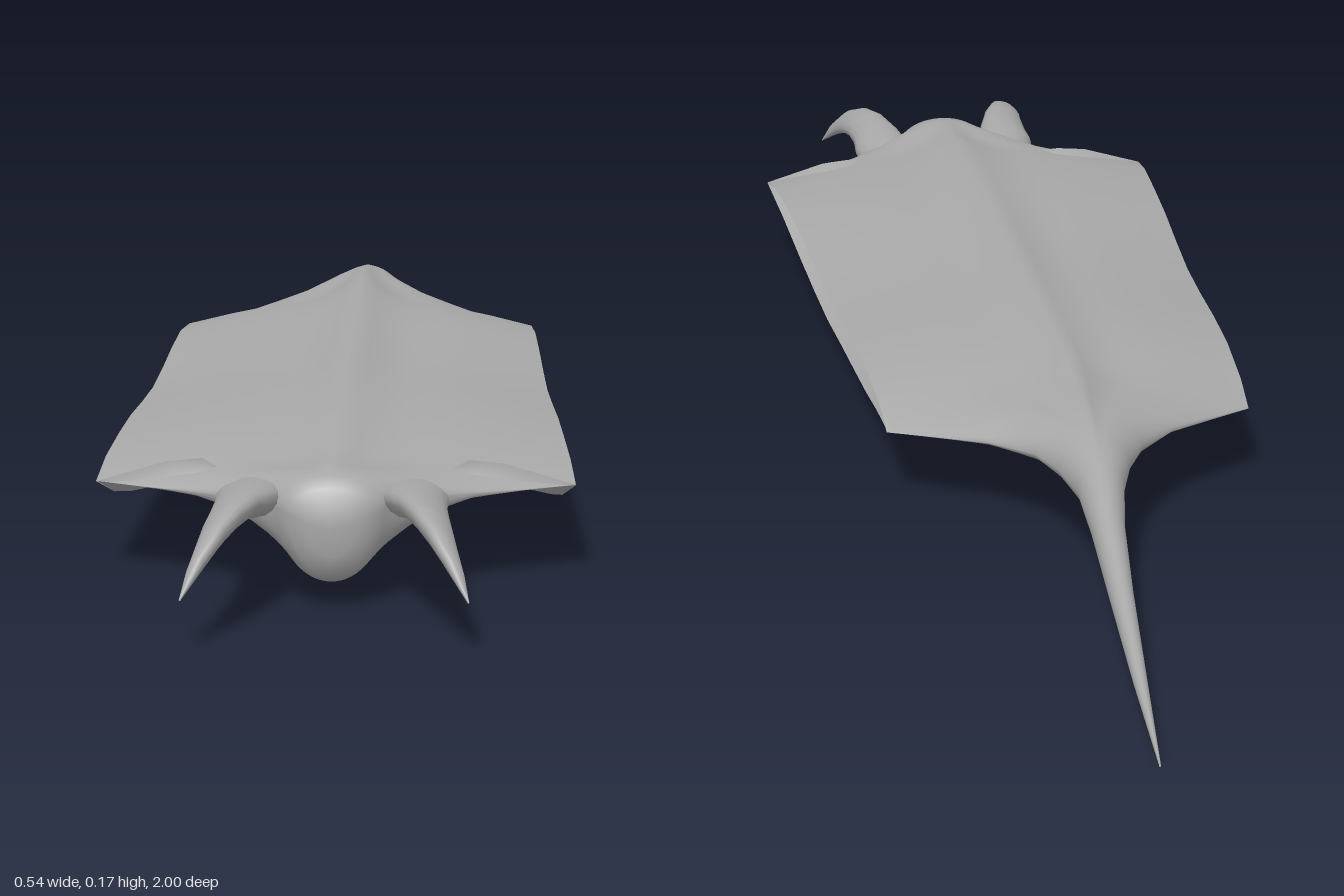
import * as THREE from 'three';
import { mergeVertices } from 'three/addons/utils/BufferGeometryUtils.js';

const lerp = THREE.MathUtils.lerp;

// Piecewise-linear curve through [u, value] pairs
function curve(points, u) {
  for (let i = 1; i < points.length; i++) {
    const [u0, v0] = points[i - 1], [u1, v1] = points[i];
    if (u <= u1) return lerp(v0, v1, (u - u0) / (u1 - u0));
  }
  return points[points.length - 1][1];
}

// Adds a skin over rows of [x, y, z] points
function addSkin(pos, index, rows, flip) {
  const base = pos.length / 3, n = rows[0].length;
  rows.forEach(row => row.forEach(p => pos.push(...p)));
  for (let i = 0; i < rows.length - 1; i++) {
    for (let j = 0; j < n - 1; j++) {
      const a = base + i * n + j, b = a + 1, c = a + n, d = c + 1;
      if (flip) index.push(a, b, c, b, d, c);
      else index.push(a, c, b, b, c, d);
    }
  }
}

function smoothMesh(name, pos, index, material) {
  let g = new THREE.BufferGeometry();
  g.setAttribute('position', new THREE.Float32BufferAttribute(pos, 3));
  g.setIndex(index);
  g = mergeVertices(g, 1e-4);
  g.computeVertexNormals();
  const mesh = new THREE.Mesh(g, material);
  mesh.name = name;
  return mesh;
}

// Back and belly heights from centre line (u = 0) to side edge (u = 1)
const BACK = [[0, 1], [0.1, 0.8], [0.23, 0.56], [0.36, 0.5], [0.5, 0.44], [0.75, 0.24], [1, 0]];
const BELLY = [[0, 0], [0.13, 0.14], [0.3, 0.6], [0.43, 1.05], [0.55, 1.32], [0.7, 1.28], [1, 1]];

// Sections: z, centre x, half width, belly inset, back y, belly y, upper edge y, lower edge y, roundness
const TAIL = [
  [-1, 0.036, 0.001, 0, 0.004, 0, 0.002, 0.002, 1],
  [-0.85, 0.028, 0.008, 0, 0.038, 0.02, 0.029, 0.029, 1],
  [-0.7, 0.02, 0.014, 0, 0.08, 0.047, 0.062, 0.062, 1],
  [-0.58, 0.013, 0.02, 0, 0.117, 0.07, 0.093, 0.093, 1],
  [-0.5, 0.006, 0.028, 0, 0.139, 0.083, 0.108, 0.108, 1],
  [-0.44, 0.003, 0.044, 0, 0.152, 0.086, 0.112, 0.112, 0.9],
  [-0.39, 0, 0.066, 0, 0.16, 0.083, 0.112, 0.112, 0.7],
  [-0.33, 0, 0.115, 0, 0.167, 0.074, 0.106, 0.106, 0.4],
];
const TRUNK = [
  [-0.255, 0, 0.227, 0, 0.172, 0.06, 0.097, 0.097, 0],
  [-0.2, 0, 0.229, 0.008, 0.174, 0.05, 0.115, 0.081, 0],
  [-0.1, 0, 0.233, 0.014, 0.175, 0.038, 0.126, 0.064, 0],
  [0, 0, 0.237, 0.018, 0.175, 0.026, 0.124, 0.048, 0],
  [0.1, 0, 0.241, 0.02, 0.175, 0.017, 0.118, 0.039, 0],
  [0.2, 0, 0.245, 0.02, 0.175, 0.01, 0.115, 0.035, 0],
  [0.3, 0, 0.25, 0.018, 0.174, 0.005, 0.119, 0.036, 0],
  [0.4, 0, 0.255, 0.017, 0.172, 0.001, 0.125, 0.042, 0],
  [0.5, 0, 0.26, 0.014, 0.169, 0.001, 0.126, 0.056, 0],
  [0.6, 0, 0.266, 0.009, 0.165, 0.01, 0.122, 0.08, 0],
  [0.67, 0, 0.271, 0, 0.161, 0.022, 0.109, 0.109, 0],
];
const HEAD = [
  [0.695, 0, 0.215, 0, 0.159, 0.026, 0.109, 0.109, 0.1],
  [0.72, 0, 0.16, 0, 0.157, 0.029, 0.11, 0.11, 0.3],
  [0.75, 0, 0.115, 0, 0.155, 0.028, 0.112, 0.112, 0.6],
  [0.775, 0, 0.075, 0, 0.153, 0.026, 0.113, 0.113, 0.9],
  [0.8, 0, 0.06, 0, 0.149, 0.029, 0.113, 0.113, 1],
  [0.815, 0, 0.046, 0, 0.138, 0.04, 0.11, 0.11, 1],
  [0.823, 0, 0.026, 0, 0.118, 0.062, 0.1, 0.1, 1],
  [0.825, 0, 0, 0, 0.095, 0.095, 0.095, 0.095, 1],
];

// Shell with a back and a belly, open along the trunk sides
function shell(name, sections, material) {
  const pos = [], index = [], STEPS = 32;
  for (const belly of [false, true]) {
    const rows = sections.map(([z, cx, w, inset, top, bottom, edgeTop, edgeBottom, round]) => {
      const row = [];
      for (let j = 0; j <= STEPS; j++) {
        const u = Math.sin((j / STEPS - 0.5) * Math.PI), a = Math.abs(u);
        const dome = Math.sqrt(Math.max(0, 1 - a * a));
        const y = belly
          ? lerp(bottom, edgeBottom, lerp(curve(BELLY, a), 1 - dome, round))
          : lerp(edgeTop, top, lerp(curve(BACK, a), dome, round));
        row.push([cx + u * (w - (belly ? inset * a : 0)), y, z]);
      }
      return row;
    });
    addSkin(pos, index, rows, belly);
  }
  return smoothMesh(name, pos, index, material);
}

// Horn rings: x, y, z, half width, half thickness, outward droop angle
const HORN = [
  [0.083, 0.106, 0.73, 0.04, 0.026, 0],
  [0.09, 0.115, 0.77, 0.04, 0.022, 0.05],
  [0.094, 0.121, 0.81, 0.034, 0.019, 0.18],
  [0.103, 0.124, 0.86, 0.029, 0.016, 0.42],
  [0.113, 0.119, 0.9, 0.026, 0.014, 0.65],
  [0.124, 0.107, 0.935, 0.022, 0.011, 0.85],
  [0.138, 0.086, 0.967, 0.014, 0.007, 0.95],
  [0.152, 0.06, 0.995, 0.001, 0.001, 1],
];

function horn(name, side, material) {
  const pos = [], index = [], SIDES = 16;
  const rows = HORN.map(([x, y, z, a, b, tilt]) => {
    const row = [], c = Math.cos(tilt), s = Math.sin(tilt);
    for (let j = 0; j <= SIDES; j++) {
      const t = (j / SIDES) * Math.PI * 2;
      const p = a * Math.cos(t), q = b * Math.sin(t);
      row.push([side * (x + p * c + q * s), y - p * s + q * c, z]);
    }
    return row;
  });
  addSkin(pos, index, rows, side > 0);
  return smoothMesh(name, pos, index, material);
}

export function createModel() {
  const skin = new THREE.MeshStandardMaterial({ color: 0xa8a8a8, side: THREE.DoubleSide });
  skin.name = 'grey skin';
  const model = new THREE.Group();
  model.name = 'rayBody';
  model.add(shell('body', [...TAIL, ...TRUNK, ...HEAD], skin));
  model.add(horn('leftHorn', 1, skin), horn('rightHorn', -1, skin));
  return model;
}
